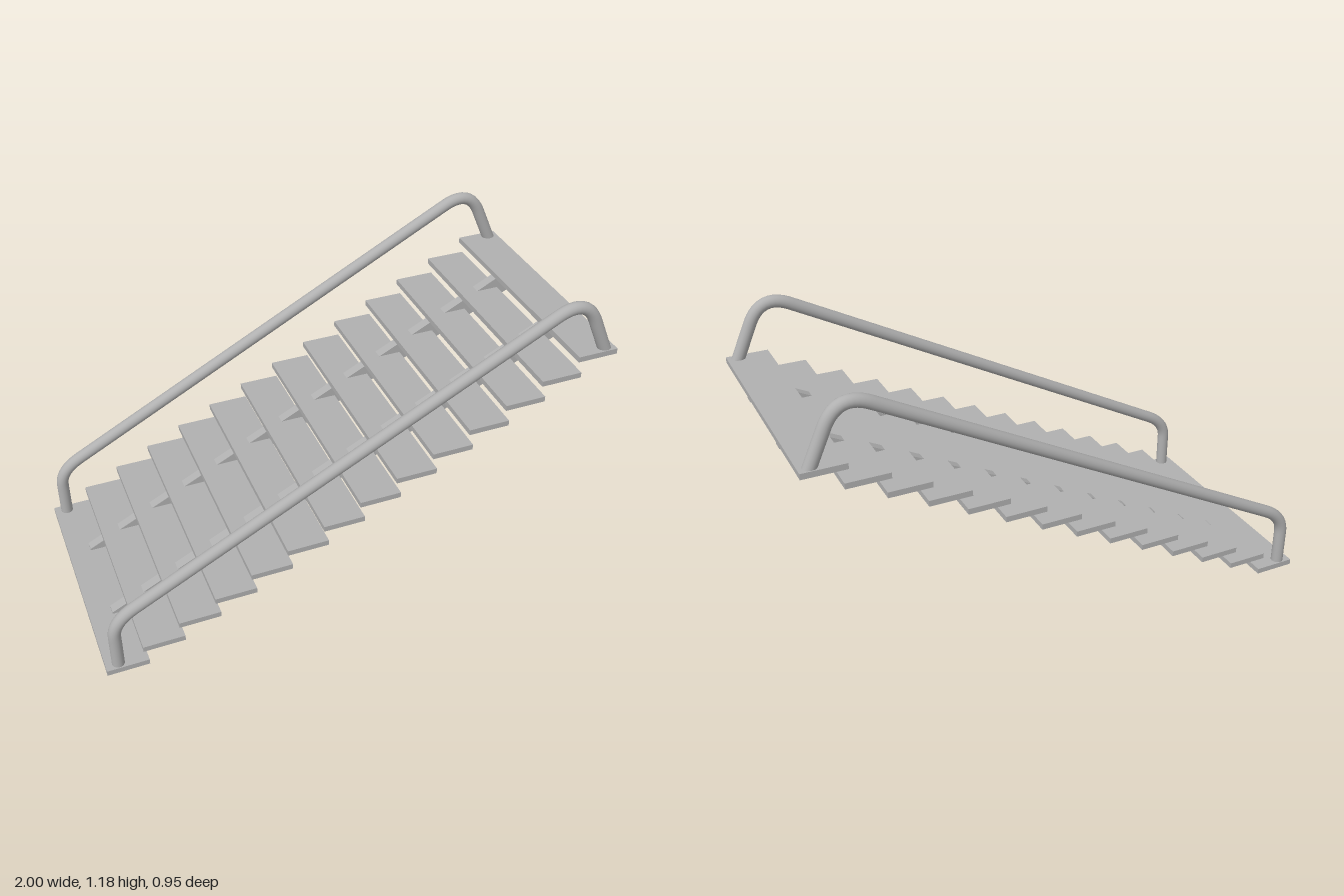
import * as THREE from 'three';

const STEPS = 14;

export function createModel() {
  const group = new THREE.Group();
  const metal = new THREE.MeshStandardMaterial({ color: 0xb0b0b0 });
  metal.name = 'grey metal';

  const add = (name, geometry, x, y, z) => {
    const mesh = new THREE.Mesh(geometry, metal);
    mesh.name = name;
    mesh.position.set(x, y, z);
    group.add(mesh);
  };

  // Flat treads, climbing toward +x
  const treadGeo = new THREE.BoxGeometry(0.16, 0.022, 0.955);
  for (let i = 0; i < STEPS; i++) {
    const t = i / (STEPS - 1);
    add('tread' + (i + 1), treadGeo, -0.92 + 1.84 * t, 0.025 + 0.924 * t, 0);
  }

  // Two sloping stringers that pass through the treads
  const profile = new THREE.Shape([
    [-0.913, 0], [-0.82, 0], [0.992, 0.911], [0.992, 0.945], [0.88, 0.945], [-0.913, 0.043],
  ].map(([x, y]) => new THREE.Vector2(x, y)));
  const width = 0.038;
  const stringerGeo = new THREE.ExtrudeGeometry(profile, { depth: width, bevelEnabled: false });
  stringerGeo.translate(0, 0, -width / 2);

  // Handrail: post, bend, long slope, bend, leaning end post
  const v = (x, y) => new THREE.Vector3(x, y, 0);
  const path = new THREE.CurvePath();
  const a = v(-0.951, 0.025), b = v(-0.951, 0.175), c = v(-0.865, 0.293);
  const d = v(0.742, 1.141), e = v(0.903, 1.085), f = v(0.963, 0.95);
  path.add(new THREE.LineCurve3(a, b));
  path.add(new THREE.QuadraticBezierCurve3(b, v(-0.951, 0.248), c));
  path.add(new THREE.LineCurve3(c, d));
  path.add(new THREE.QuadraticBezierCurve3(d, v(0.853, 1.2), e));
  path.add(new THREE.LineCurve3(e, f));
  const railGeo = new THREE.TubeGeometry(path, 140, 0.024, 20, false);

  for (const [side, s] of [['front', 1], ['back', -1]]) {
    add(side + 'Stringer', stringerGeo, 0, 0, 0.187 * s);
    add(side + 'Handrail', railGeo, 0, 0, 0.45 * s);
  }
  return group;
}
